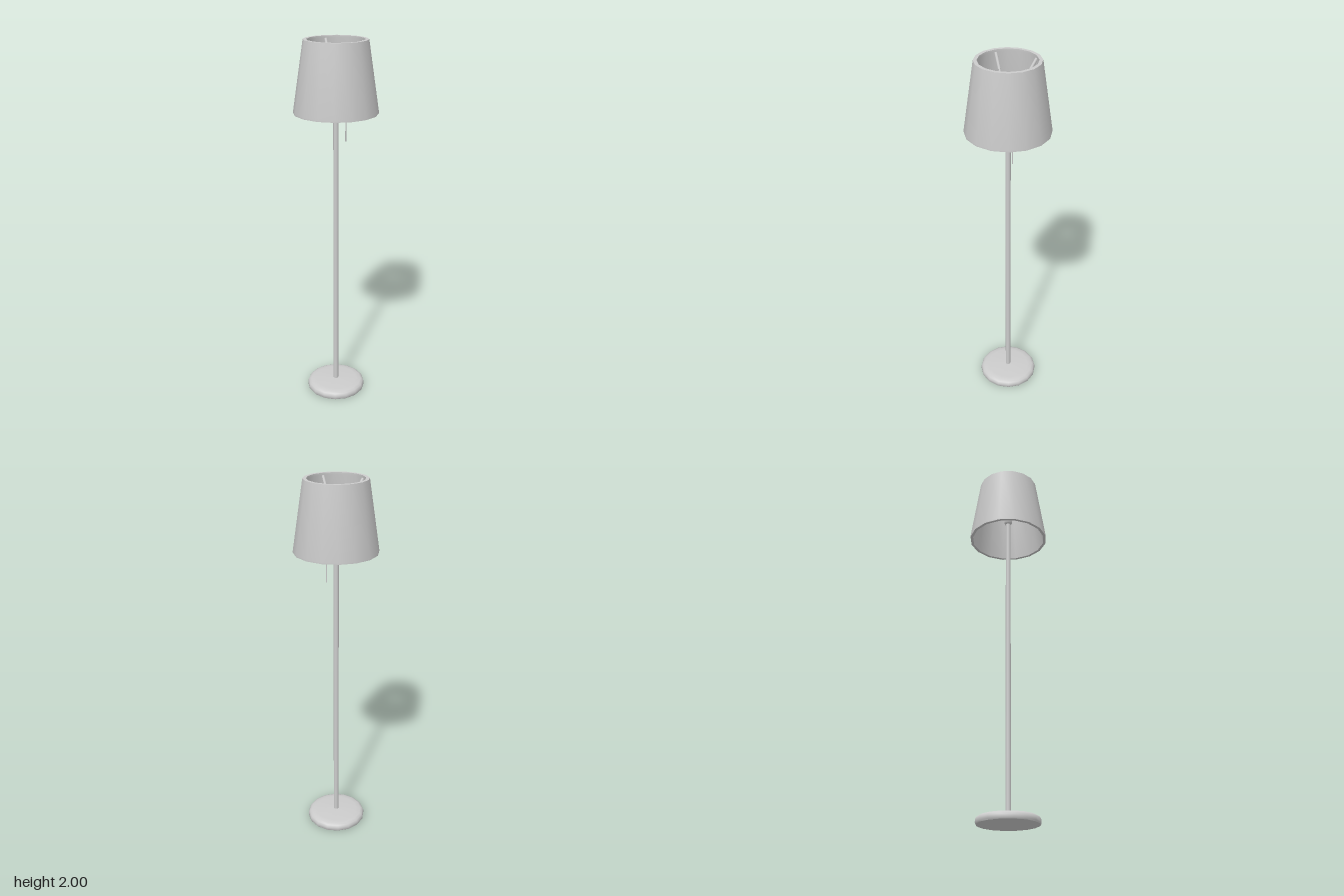
import * as THREE from 'three';
import { toCreasedNormals } from 'three/addons/utils/BufferGeometryUtils.js';

const SIDES = 16;
const material = new THREE.MeshStandardMaterial({ color: 0xcccccc });

function add(parent, name, geometry) {
  const mesh = new THREE.Mesh(geometry, material);
  mesh.name = name;
  parent.add(mesh);
  return mesh;
}

// Revolved profile, listed bottom to top on its outer side
function turned(profile) {
  const points = profile.map(([r, y]) => new THREE.Vector2(r, y));
  return toCreasedNormals(new THREE.LatheGeometry(points, SIDES), 0.7);
}

// Straight rod from a to b
function rod(parent, name, a, b, radiusA, radiusB, sides) {
  const from = new THREE.Vector3(...a);
  const to = new THREE.Vector3(...b);
  const dir = to.clone().sub(from);
  const geometry = new THREE.CylinderGeometry(radiusB, radiusA, dir.length(), sides);
  const mesh = add(parent, name, geometry);
  mesh.position.copy(from).add(to).multiplyScalar(0.5);
  mesh.quaternion.setFromUnitVectors(new THREE.Vector3(0, 1, 0), dir.normalize());
  return mesh;
}

export function createModel() {
  const lamp = new THREE.Group();
  lamp.name = 'floorLamp';

  // Rounded foot
  add(lamp, 'base', turned([
    [0, 0], [0.16, 0], [0.164, 0.006], [0.164, 0.022], [0.158, 0.034],
    [0.145, 0.041], [0.12, 0.044], [0.014, 0.048], [0, 0.048],
  ]));

  // Pole with a ball on top that carries the shade
  rod(lamp, 'pole', [0, 0.04, 0], [0, 1.75, 0], 0.014, 0.014, SIDES);
  const ball = add(lamp, 'poleBall', new THREE.SphereGeometry(0.023, SIDES, 10));
  ball.position.y = 1.755;

  // Hollow tapered shade
  add(lamp, 'shade', turned([
    [0.205, 1.63], [0.22, 1.63], [0.22, 1.638], [0.165, 2],
    [0.147, 2], [0.147, 1.99], [0.205, 1.63],
  ]));

  // Four bent arms from the ball up to the rim
  for (let i = 0; i < 4; i++) {
    const arm = new THREE.Group();
    arm.name = 'shadeArm' + (i + 1);
    rod(arm, 'innerArm', [0, 1.75, 0], [0.107, 1.918, 0], 0.006, 0.006, 8);
    rod(arm, 'outerArm', [0.105, 1.915, 0], [0.149, 1.985, 0], 0.008, 0.008, 8);
    arm.rotation.y = i * Math.PI / 2;
    lamp.add(arm);
  }

  // Pull cord hanging from the left arm
  rod(lamp, 'pullCord', [0.055, 1.475, 0], [0.055, 1.835, 0], 0.003, 0.003, 6);

  return lamp;
}
